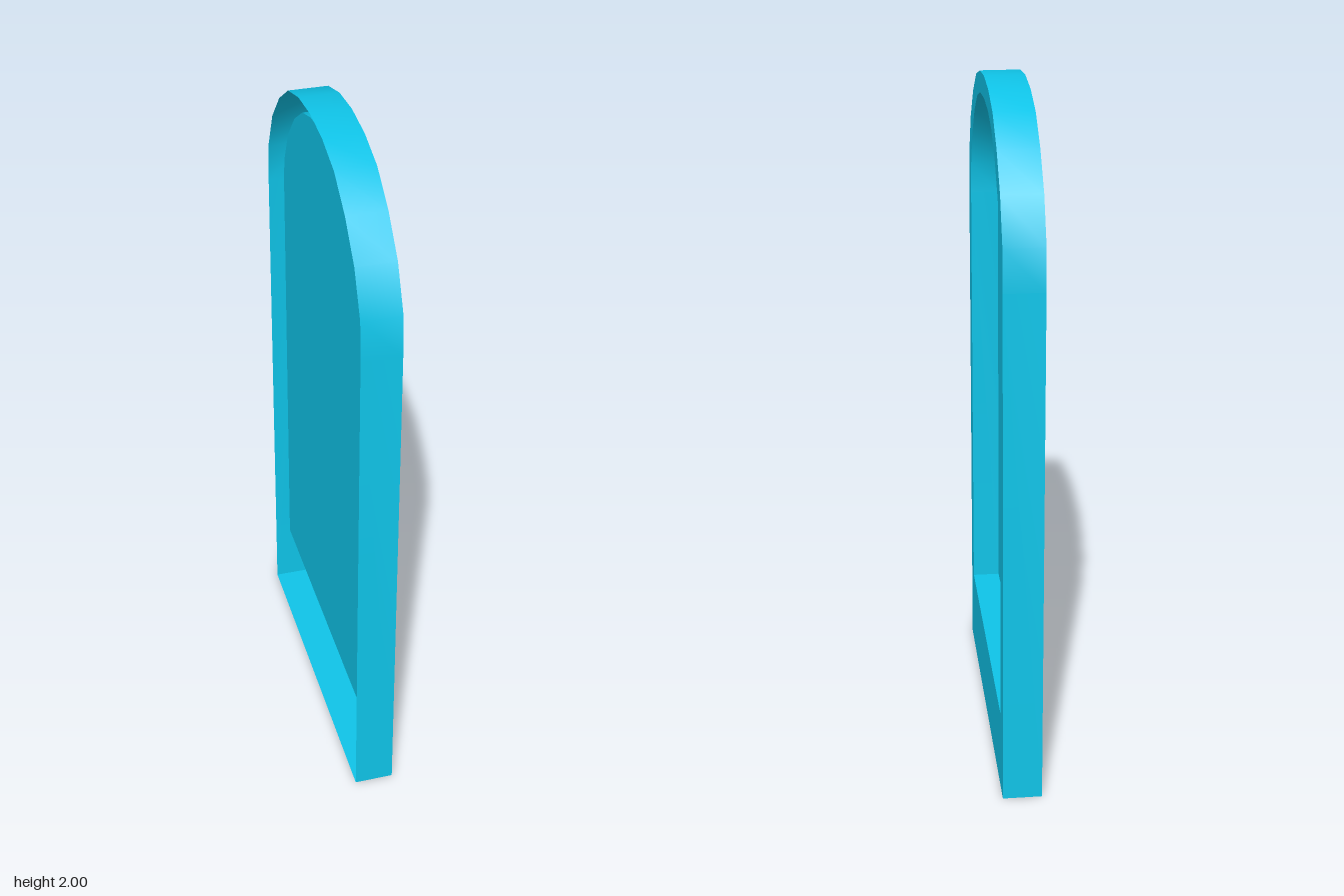
import * as THREE from 'three';
import { toCreasedNormals } from 'three/addons/utils/BufferGeometryUtils.js';

const FRONT = 0.057, BACK = -0.057, PANEL = -0.025;

// Closed arched outline, counter-clockwise, mirrored from its right half
function archOutline(half) {
  const right = half.map(([x, y]) => new THREE.Vector2(x, y));
  const left = half.filter(([x]) => x > 0).reverse().map(([x, y]) => new THREE.Vector2(-x, y));
  return [...right, ...left];
}

// Wall following an outline from depth d0 to d1 (d0 > d1 faces inward)
function wallGeometry(outline, d0, d1) {
  const pos = [];
  outline.forEach((p, i) => {
    const q = outline[(i + 1) % outline.length];
    pos.push(p.x, p.y, d0, q.x, q.y, d0, q.x, q.y, d1);
    pos.push(p.x, p.y, d0, q.x, q.y, d1, p.x, p.y, d1);
  });
  const geo = new THREE.BufferGeometry();
  geo.setAttribute('position', new THREE.Float32BufferAttribute(pos, 3));
  return toCreasedNormals(geo, 0.6);
}

export function createModel() {
  const group = new THREE.Group();
  group.name = 'archedPanel';
  const material = new THREE.MeshStandardMaterial({ color: 0x0fc4e8, side: THREE.DoubleSide });

  const outer = archOutline([
    [0.5, 0], [0.5, 1.54], [0.493, 1.66], [0.435, 1.785],
    [0.345, 1.883], [0.24, 1.955], [0.123, 1.989], [0, 2],
  ]);
  const inner = archOutline([
    [0.437, 0.243], [0.437, 1.55], [0.43, 1.64], [0.38, 1.748],
    [0.3, 1.837], [0.208, 1.9], [0.115, 1.929], [0, 1.938],
  ]);

  // Parts are drawn in the xy plane, then turned so their front faces +x
  const add = (name, geo) => {
    geo.rotateY(Math.PI / 2);
    const mesh = new THREE.Mesh(geo, material);
    mesh.name = name;
    group.add(mesh);
  };

  // Flat border around the recess
  const border = new THREE.Shape(outer);
  border.holes.push(new THREE.Path(inner));
  add('frameFace', new THREE.ShapeGeometry(border).translate(0, 0, FRONT));

  // Outer rim, open at the back
  add('outerRim', wallGeometry(outer, BACK, FRONT));

  // Recess walls and the sunken panel
  add('recessWall', wallGeometry(inner, FRONT, PANEL));
  add('sunkenPanel', new THREE.ShapeGeometry(new THREE.Shape(inner)).translate(0, 0, PANEL));

  return group;
}
